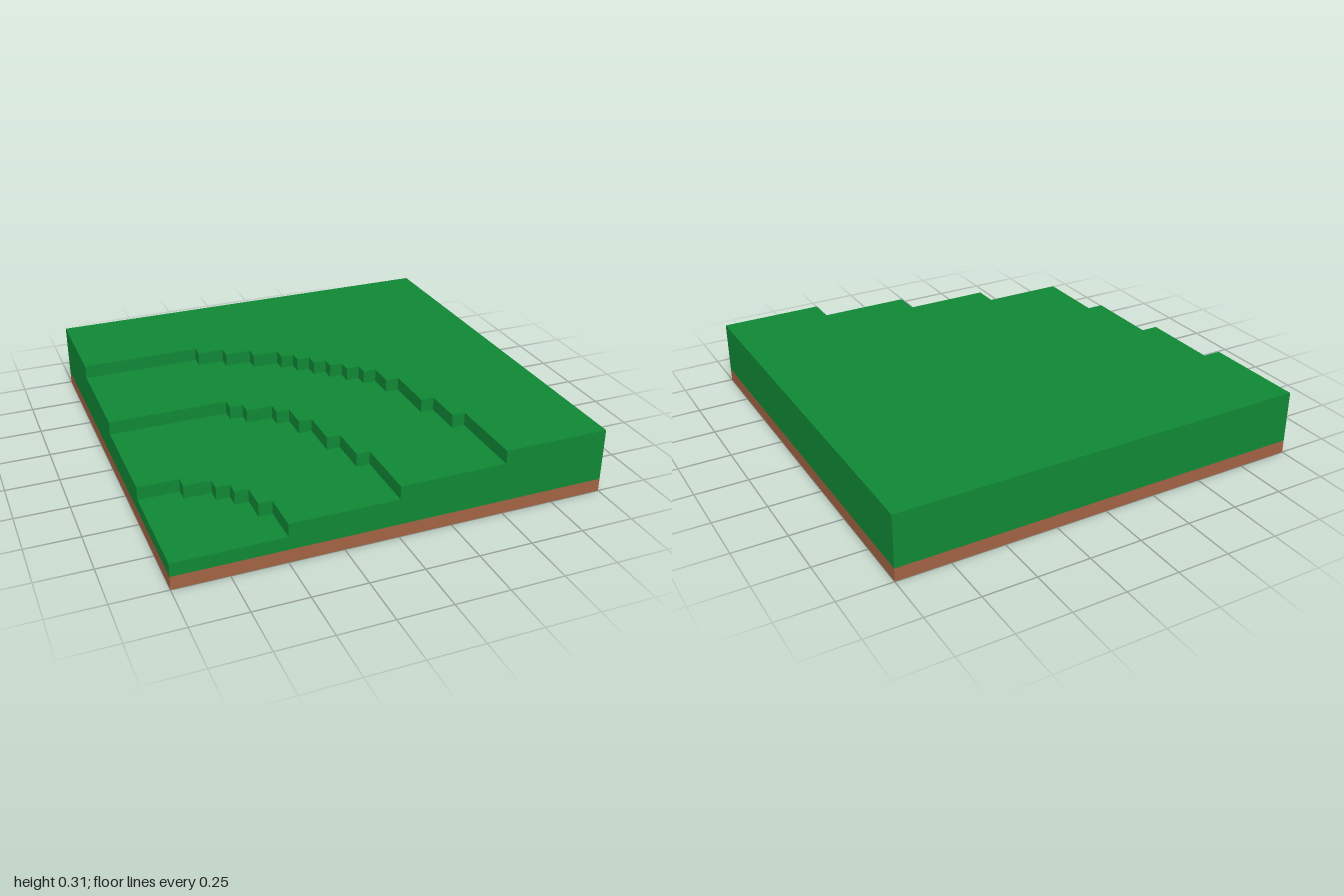
import * as THREE from 'three';

const U = 1 / 16; // one grid step, also the height of each layer

// Stepped edges of the terraces: [z, x] means the edge runs along z until x, in grid steps
const EDGES = [
  [[8, -13], [9, -11], [10, -10], [11, -9], [13, -8]],
  [[0, -7], [1, -6], [2, -4], [3, -3], [5, -2], [8, -1], [11, 0]],
  [[-8, -7], [-7, -5], [-6, -3], [-5, -1], [-4, 0], [-3, 1], [-2, 2],
    [-1, 3], [0, 4], [1, 5], [3, 6], [7, 7], [10, 8]],
];

// Extrudes a terrace that fills the square except for the stepped front corner
function terraceGeometry(edge) {
  const points = [[16, 16], [16, -16], [-16, -16]];
  let x = -16;
  for (const [z, nextX] of edge) {
    points.push([x, z], [nextX, z]);
    x = nextX;
  }
  points.push([x, 16]);
  const shape = new THREE.Shape(points.map(([px, pz]) => new THREE.Vector2(px * U, -pz * U)));
  return new THREE.ExtrudeGeometry(shape, { depth: U, bevelEnabled: false }).rotateX(-Math.PI / 2);
}

export function createModel() {
  const model = new THREE.Group();
  model.name = 'terracedHill';
  const grass = new THREE.MeshStandardMaterial({ color: 0x0f8735 });
  grass.name = 'grass green';
  const soil = new THREE.MeshStandardMaterial({ color: 0xa06242 });
  soil.name = 'soil brown';

  const add = (name, geometry, material, y) => {
    const mesh = new THREE.Mesh(geometry, material);
    mesh.name = name;
    mesh.position.y = y;
    model.add(mesh);
  };

  // Soil base and full grass layer
  add('soilBase', new THREE.BoxGeometry(2, U, 2), soil, U / 2);
  add('grassBase', new THREE.BoxGeometry(2, U, 2), grass, U * 1.5);

  // Rising grass terraces
  EDGES.forEach((edge, i) => add(`grassTerrace${i + 1}`, terraceGeometry(edge), grass, U * (i + 2)));

  return model;
}
